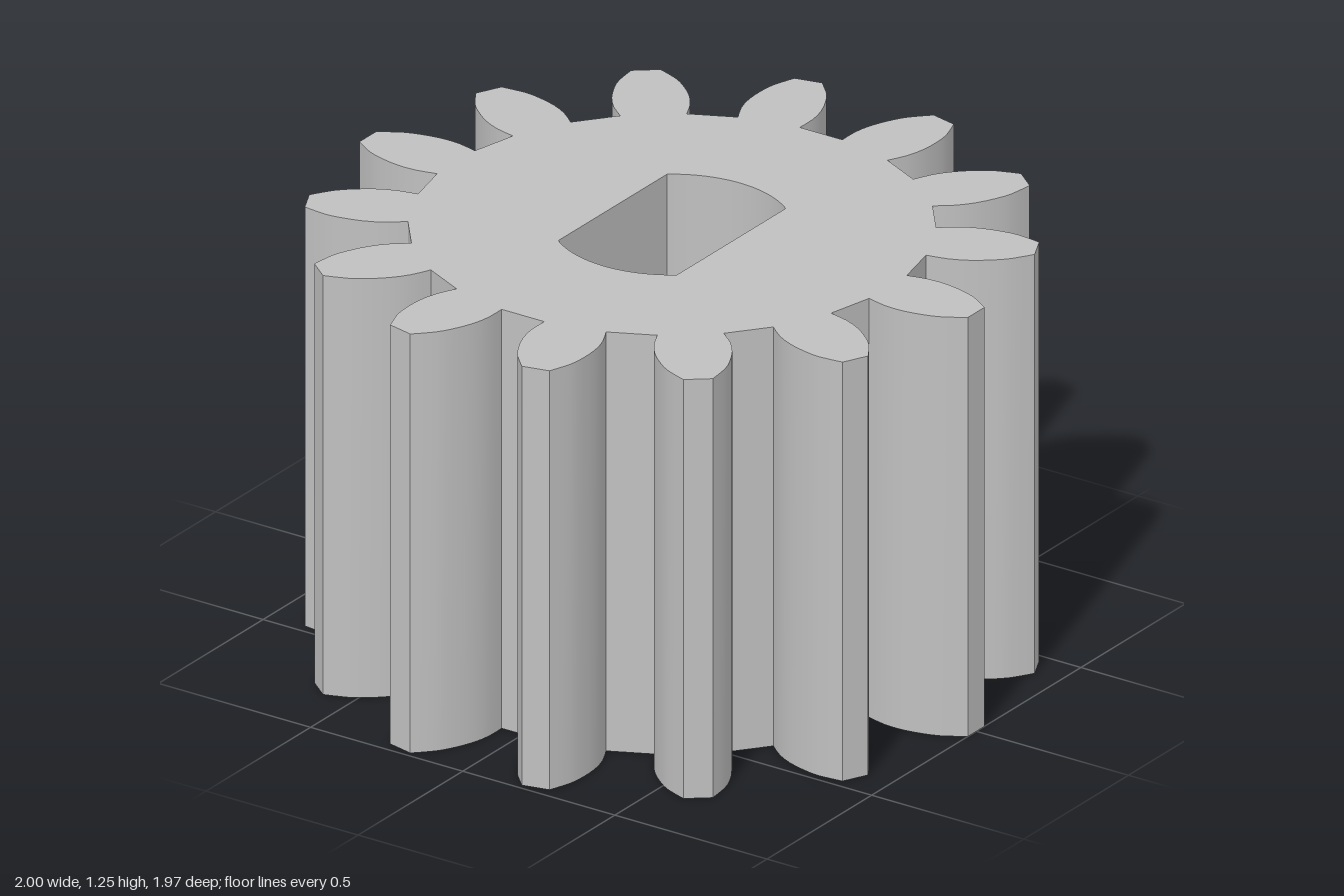
import * as THREE from 'three';
import { toCreasedNormals } from 'three/addons/utils/BufferGeometryUtils.js';

const TEETH = 14, HEIGHT = 1.25;
const BORE = 0.325, FLAT = 0.195, CHAMFER = 0.04;

// Points on an arc, counter-clockwise, both ends included
function arc(radius, from, to, steps) {
  return Array.from({ length: steps + 1 }, (_, i) => {
    const a = from + (to - from) * i / steps;
    return new THREE.Vector2(radius * Math.cos(a), radius * Math.sin(a));
  });
}

// Outline of all teeth, counter-clockwise; the root gaps are straight
function gearOutline() {
  const flank = new THREE.SplineCurve([
    [0.71, 0.09], [0.77, 0.104], [0.83, 0.105], [0.89, 0.094], [0.94, 0.077], [1, 0.04],
  ].map(([x, y]) => new THREE.Vector2(x, y))).getPoints(10);
  const tooth = [
    ...flank.map(p => new THREE.Vector2(p.x, -p.y)),
    ...flank.slice().reverse(),
  ];
  const origin = new THREE.Vector2();
  const points = [];
  for (let i = 0; i < TEETH; i++) {
    const angle = i * Math.PI * 2 / TEETH;
    for (const p of tooth) points.push(p.clone().rotateAround(origin, angle));
  }
  return points;
}

// Closed wall between a lower and an upper loop of equal length
function wall(lower, y0, upper, y1) {
  const pos = [];
  const add = (p, y) => pos.push(p.x, y, -p.y);
  for (let i = 0; i < lower.length; i++) {
    const j = (i + 1) % lower.length;
    add(lower[i], y0); add(lower[j], y0); add(upper[j], y1);
    add(lower[i], y0); add(upper[j], y1); add(upper[i], y1);
  }
  const g = new THREE.BufferGeometry();
  g.setAttribute('position', new THREE.Float32BufferAttribute(pos, 3));
  return toCreasedNormals(g, 0.4);
}

// Flat horizontal face, optionally with a hole
function face(outline, hole, y, up) {
  const shape = new THREE.Shape(outline);
  if (hole) shape.holes.push(new THREE.Path(hole));
  return new THREE.ShapeGeometry(shape).rotateX(up ? -Math.PI / 2 : Math.PI / 2).translate(0, y, 0);
}

export function createModel() {
  const steel = new THREE.MeshStandardMaterial({ color: 0xc0c0c0 });
  steel.name = 'grey metal';
  const gear = new THREE.Group();
  gear.name = 'pinionGear';
  const add = (name, geometry) => {
    const mesh = new THREE.Mesh(geometry, steel);
    mesh.name = name;
    gear.add(mesh);
  };

  const outline = gearOutline();
  const corner = Math.acos(FLAT / BORE);
  // Shaft hole with two flats
  const shaft = [
    ...arc(BORE, corner, Math.PI - corner, 24),
    ...arc(BORE, Math.PI + corner, Math.PI * 2 - corner, 24),
  ];
  const rim = arc(BORE + CHAMFER, 0, Math.PI * 2, 64).slice(0, -1);
  const bore = arc(BORE, 0, Math.PI * 2, 64).slice(0, -1);

  add('toothedWall', wall(outline, 0, outline, HEIGHT));
  add('topFace', face(outline, shaft, HEIGHT, true));
  add('bottomFace', face(outline, rim, 0, false));

  // Loops reversed so that the walls face into the hole
  const inward = loop => loop.slice().reverse();
  add('shaftHoleWall', wall(inward(shaft), CHAMFER, inward(shaft), HEIGHT));
  add('boreChamfer', wall(inward(rim), 0, inward(bore), CHAMFER));

  // Ledges under the flats, above the chamfer
  add('leftFlatLedge', face(arc(BORE, -corner, corner, 24), null, CHAMFER, false));
  add('rightFlatLedge', face(arc(BORE, Math.PI - corner, Math.PI + corner, 24), null, CHAMFER, false));

  return gear;
}
